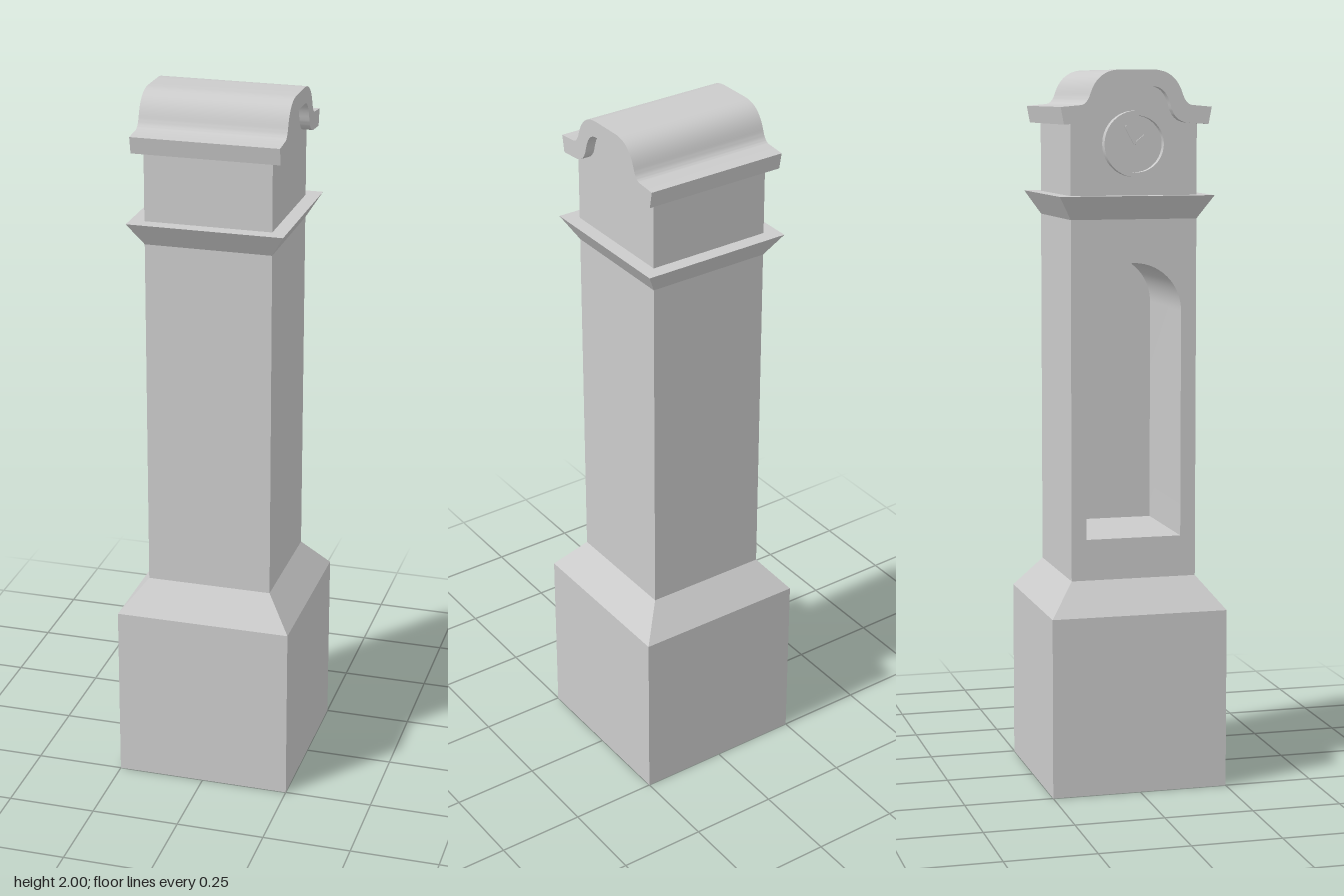
import * as THREE from 'three';
import { toCreasedNormals } from 'three/addons/utils/BufferGeometryUtils.js';

const material = new THREE.MeshStandardMaterial({ color: 0xcccccc });
const HALF = 0.178; // half width of the clock case
const CASE_FRONT = -HALF; // the dial side faces -x

function part(name, geometry) {
  const mesh = new THREE.Mesh(geometry, material);
  mesh.name = name;
  return mesh;
}

// Square block with different half widths at bottom and top
function taper(bottom, top, y0, y1) {
  const g = new THREE.CylinderGeometry(top * Math.SQRT2, bottom * Math.SQRT2, y1 - y0, 4);
  g.rotateY(Math.PI / 4).translate(0, (y0 + y1) / 2, 0);
  return toCreasedNormals(g, 0.1);
}

// Extrude a side outline (z, y) from x0 to x1
function alongX(shape, x0, x1) {
  const g = new THREE.ExtrudeGeometry(shape, { depth: x1 - x0, bevelEnabled: false, curveSegments: 20 });
  g.rotateY(Math.PI / 2).translate(x0, 0, 0);
  return toCreasedNormals(g, 0.5);
}

// Half of a roof curve, from the eave in to the crown, then mirrored
function archCurve(start, c1, mid, c2, end) {
  const path = new THREE.Path();
  path.moveTo(...start);
  path.quadraticCurveTo(...c1, ...mid);
  path.quadraticCurveTo(...c2, ...end);
  const half = path.getPoints(10);
  return [...half, ...half.map((p) => new THREE.Vector2(-p.x, p.y)).reverse()];
}

function createDial() {
  const dial = new THREE.Group();
  dial.name = 'dial';
  const rim = [[0.09, -0.01], [0.09, 0.026], [0.077, 0.026], [0.077, 0.004], [0, 0.004]]
    .map(([r, y]) => new THREE.Vector2(r, y));
  const rimGeometry = toCreasedNormals(new THREE.LatheGeometry(rim.reverse(), 40).scale(1, 1, 1), 0.5);
  const rimMesh = part('dialRim', rimGeometry);
  rimMesh.material = new THREE.MeshStandardMaterial({ color: 0xcccccc, side: THREE.DoubleSide });
  rimMesh.rotation.z = Math.PI / 2;
  dial.add(rimMesh);

  // Hands pivot at the dial centre
  for (const [name, length, angle] of [['hourHand', 0.035, 0.9], ['minuteHand', 0.055, -0.5]]) {
    const hand = part(name, new THREE.BoxGeometry(0.005, length, 0.007).translate(-0.008, length / 2, 0));
    hand.rotation.x = angle;
    dial.add(hand);
  }
  dial.position.set(CASE_FRONT, 1.8, 0);
  return dial;
}

export function createModel() {
  const clock = new THREE.Group();
  clock.name = 'longcaseClock';

  // Plinth and sloped shoulder
  clock.add(part('plinth', taper(0.25, 0.25, 0, 0.505)));
  clock.add(part('plinthShoulder', taper(0.25, HALF, 0.505, 0.595)));

  // Trunk with an arched opening, closed by a back panel
  const trunk = new THREE.Shape();
  trunk.moveTo(-HALF, 0.595).lineTo(HALF, 0.595).lineTo(HALF, 1.64).lineTo(-HALF, 1.64).closePath();
  const opening = new THREE.Path();
  opening.moveTo(-0.135, 0.71);
  opening.lineTo(-0.135, 1.34);
  opening.absarc(0, 1.34, 0.135, Math.PI, 0, true);
  opening.lineTo(0.135, 0.71);
  opening.closePath();
  trunk.holes.push(opening);
  clock.add(part('trunk', alongX(trunk, CASE_FRONT, 0.14)));
  const back = new THREE.BoxGeometry(HALF - 0.14, 1.045, 2 * HALF);
  clock.add(part('trunkBack', back.translate((HALF + 0.14) / 2, 1.1175, 0)));

  // Flared collar under the hood
  clock.add(part('collar', taper(HALF, 0.218, 1.595, 1.66)));

  // Hood, its gable following the underside of the roof
  const underside = archCurve([0.145, 1.857], [0.11, 1.86], [0.098, 1.895], [0.085, 1.955], [0.045, 1.955]);
  const hood = new THREE.Shape([
    new THREE.Vector2(HALF, 1.63), new THREE.Vector2(HALF, 1.857), ...underside,
    new THREE.Vector2(-HALF, 1.857), new THREE.Vector2(-HALF, 1.63),
  ]);
  clock.add(part('hood', alongX(hood, -HALF, HALF)));

  // Bonnet roof
  const crown = archCurve([0.155, 1.905], [0.138, 1.908], [0.129, 1.937], [0.108, 2], [0.045, 2]);
  const roof = new THREE.Shape([
    new THREE.Vector2(0.203, 1.853), new THREE.Vector2(0.212, 1.9), ...crown,
    new THREE.Vector2(-0.212, 1.9), new THREE.Vector2(-0.203, 1.853),
    ...[...underside].reverse(),
  ]);
  clock.add(part('roof', alongX(roof, -0.206, 0.206)));

  clock.add(createDial());
  return clock;
}
